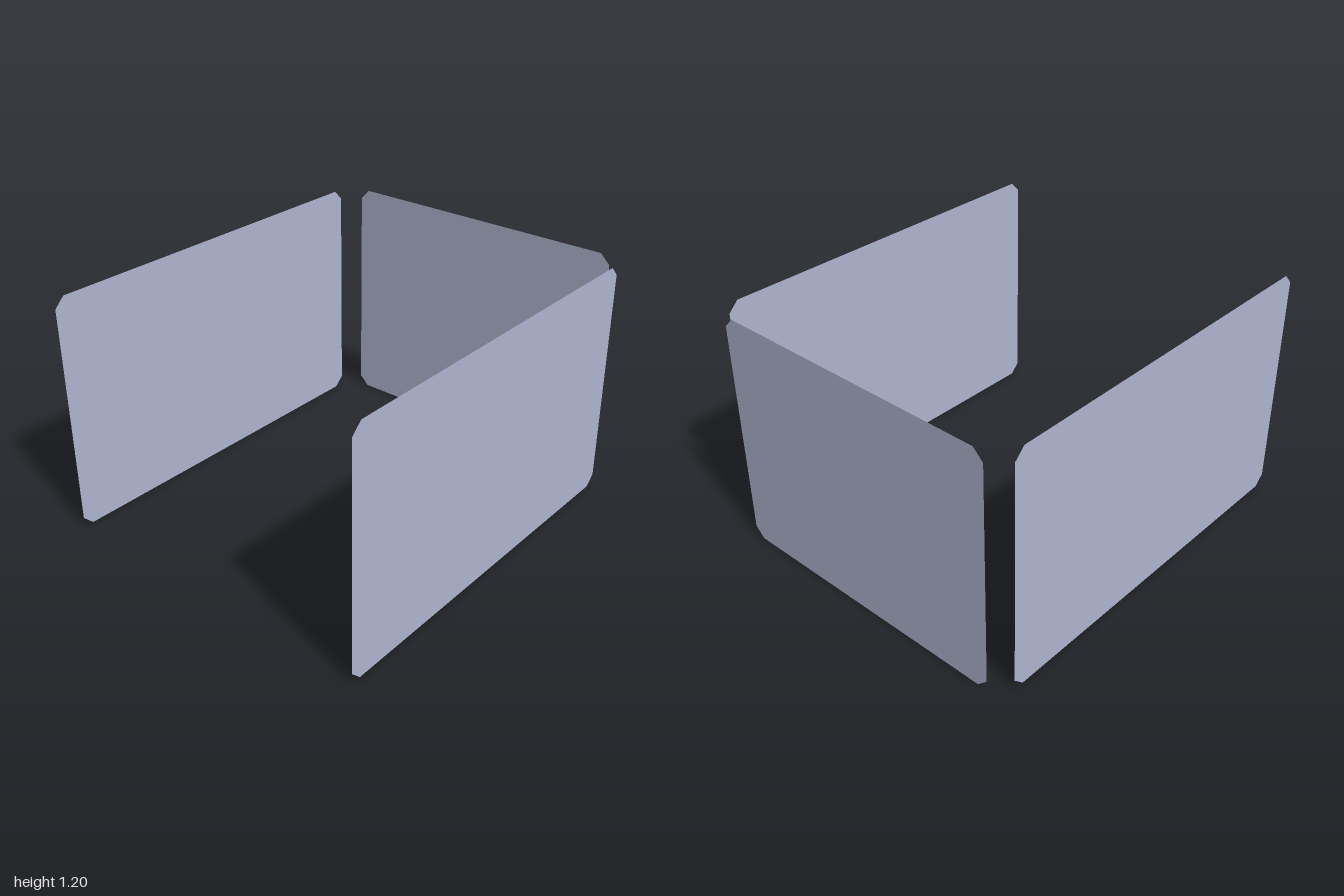
import * as THREE from 'three';

const HEIGHT = 1.2;
const CUT = 0.05;

// Flat upright panel with clipped corners, centred on x, standing on y = 0
function panelGeometry(width) {
  const w = width / 2;
  const shape = new THREE.Shape([
    [-w + CUT, 0], [w - CUT, 0], [w, CUT], [w, HEIGHT - CUT],
    [w - CUT, HEIGHT], [-w + CUT, HEIGHT], [-w, HEIGHT - CUT], [-w, CUT],
  ].map(([x, y]) => new THREE.Vector2(x, y)));
  return new THREE.ShapeGeometry(shape);
}

export function createModel() {
  const group = new THREE.Group();
  group.name = 'threePanelScreen';
  const material = new THREE.MeshStandardMaterial({ color: 0xb0b5d0, side: THREE.DoubleSide });

  // Back panel
  const back = new THREE.Mesh(panelGeometry(1.52), material);
  back.name = 'backPanel';
  back.position.z = -1;
  group.add(back);

  // Mirrored side panels, set slightly clear of the back panel
  for (const [name, side] of [['leftPanel', 1], ['rightPanel', -1]]) {
    const panel = new THREE.Mesh(panelGeometry(1.92), material);
    panel.name = name;
    panel.rotation.y = side * Math.PI / 2;
    panel.position.set(side * 0.842, 0, 0.04);
    group.add(panel);
  }
  return group;
}
